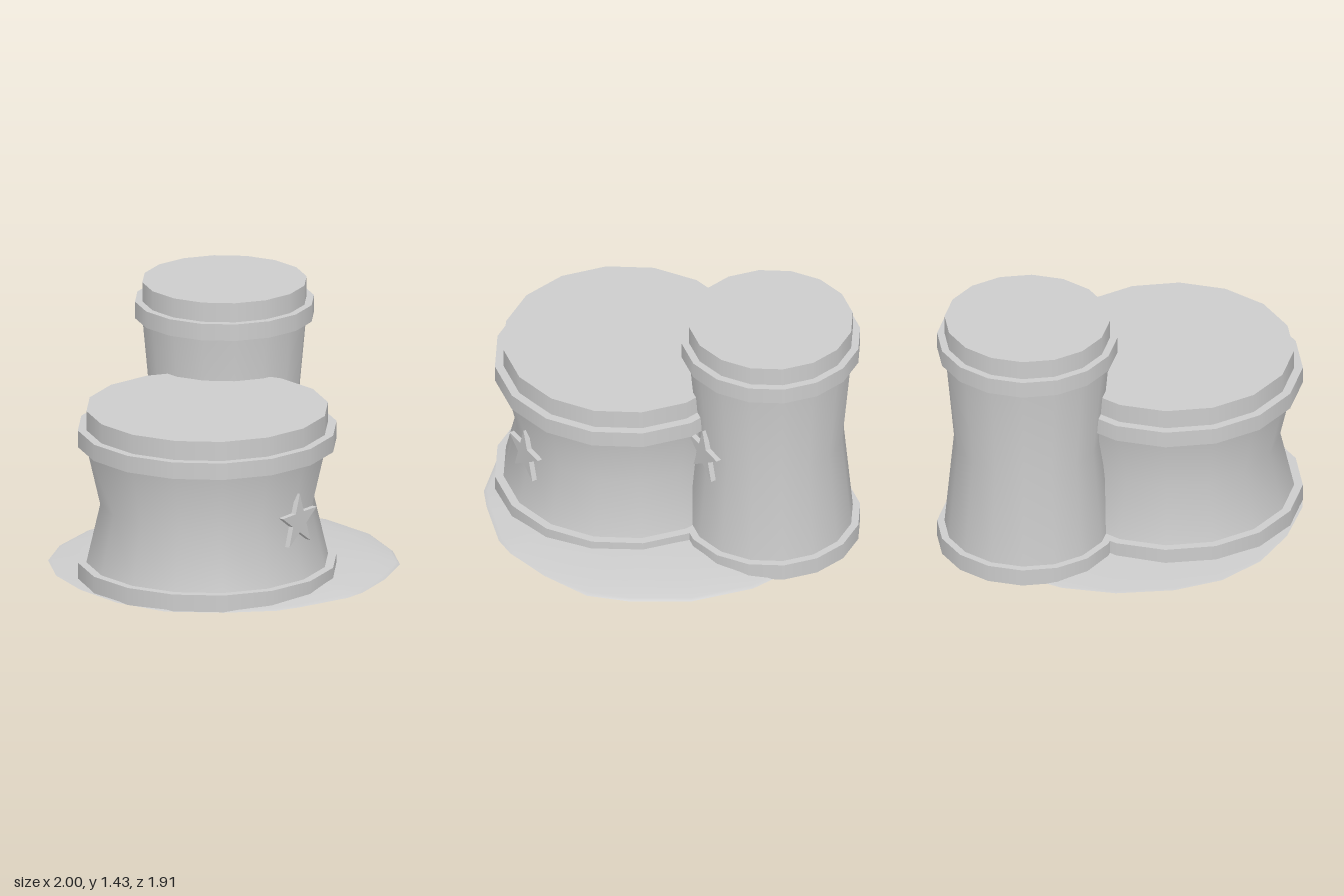
import * as THREE from 'three';

const SIDES = 16;

export function createModel() {
  const model = new THREE.Group();
  model.name = 'drumPair';
  const grey = new THREE.MeshStandardMaterial({ color: 0xcccccc });
  grey.name = 'plain grey';

  const add = (parent, name, geometry, x = 0, y = 0, z = 0) => {
    const mesh = new THREE.Mesh(geometry, grey);
    mesh.name = name;
    mesh.position.set(x, y, z);
    parent.add(mesh);
    return mesh;
  };

  // Capped band between two heights
  const band = (parent, name, r, y0, y1) =>
    add(parent, name, new THREE.CylinderGeometry(r, r, y1 - y0, SIDES), 0, (y0 + y1) / 2, 0);

  // Five-pointed badge
  const starGeometry = (r, depth) => {
    const points = [];
    for (let i = 0; i < 10; i++) {
      const a = Math.PI / 2 + i * Math.PI / 5;
      const d = i % 2 ? r * 0.39 : r;
      points.push(new THREE.Vector2(Math.cos(a) * d, Math.sin(a) * d));
    }
    return new THREE.ExtrudeGeometry(new THREE.Shape(points), { depth, bevelEnabled: false });
  };

  // Waisted drum: body, two hoops, raised head and star
  const drum = (name, x, z, d) => {
    const group = new THREE.Group();
    group.name = name;
    group.position.set(x, 0, z);
    const profile = [[d.body, 0.05], [d.body, 0.1], [d.waist, d.waistY], [d.body, d.hoopY], [d.body, d.hoopY + 0.05]]
      .map(([r, y]) => new THREE.Vector2(r, y));
    add(group, 'body', new THREE.LatheGeometry(profile, SIDES));
    band(group, 'bottomHoop', d.hoop, 0, 0.098);
    band(group, 'topHoop', d.hoop, d.hoopY, d.hoopY + 0.095);
    band(group, 'head', d.body, d.hoopY + 0.05, d.top);
    add(group, 'star', starGeometry(0.16, 0.03), 0, d.starY, d.starZ);
    model.add(group);
  };
  drum('wideDrum', -0.277, 0.07,
    { body: 0.672, waist: 0.595, waistY: 0.43, hoop: 0.72, hoopY: 0.765, top: 0.97, starY: 0.428, starZ: 0.616 });
  drum('tallDrum', 0.5, -0.41,
    { body: 0.457, waist: 0.405, waistY: 0.66, hoop: 0.498, hoopY: 1.222, top: 1.427, starY: 0.665, starZ: 0.41 });

  // Low uneven mound: scaled outline rings over a flat underside
  const outline = [
    [-0.02, 0.955], [0.25, 0.9], [0.53, 0.79], [0.7, 0.61], [0.87, 0.32], [0.943, -0.03],
    [0.91, -0.3], [0.78, -0.56], [0.58, -0.78], [0.28, -0.92], [-0.02, -0.96], [-0.34, -0.91],
    [-0.6, -0.79], [-0.8, -0.58], [-0.93, -0.31], [-1, 0], [-0.97, 0.31], [-0.79, 0.58],
    [-0.58, 0.79], [-0.45, 0.85], [-0.15, 0.95],
  ];
  const rings = [[1, 0], [0.98, 0.012], [0.85, 0.034], [0.65, 0.052], [0.4, 0.058], [0.001, 0.058]];
  const n = outline.length;
  const positions = [];
  const indices = [];
  for (const [s, h] of rings) {
    for (const [x, z] of outline) {
      const rise = THREE.MathUtils.clamp(0.65 + 0.3 * z + 0.25 * x, 0.3, 1);
      positions.push(x * s, h * rise, z * s);
    }
  }
  for (let r = 0; r < rings.length - 1; r++) {
    for (let i = 0; i < n; i++) {
      const a = r * n + i, b = r * n + (i + 1) % n;
      indices.push(a, b, b + n, a, b + n, a + n);
    }
  }
  const mound = new THREE.BufferGeometry();
  mound.setAttribute('position', new THREE.Float32BufferAttribute(positions, 3));
  mound.setIndex(indices);
  mound.computeVertexNormals();
  add(model, 'mound', mound);

  // Flat underside of the mound, facing down
  const under = new THREE.ShapeGeometry(new THREE.Shape(outline.map(([x, z]) => new THREE.Vector2(x, z))));
  under.rotateX(Math.PI / 2);
  add(model, 'moundUnderside', under);

  return model;
}
